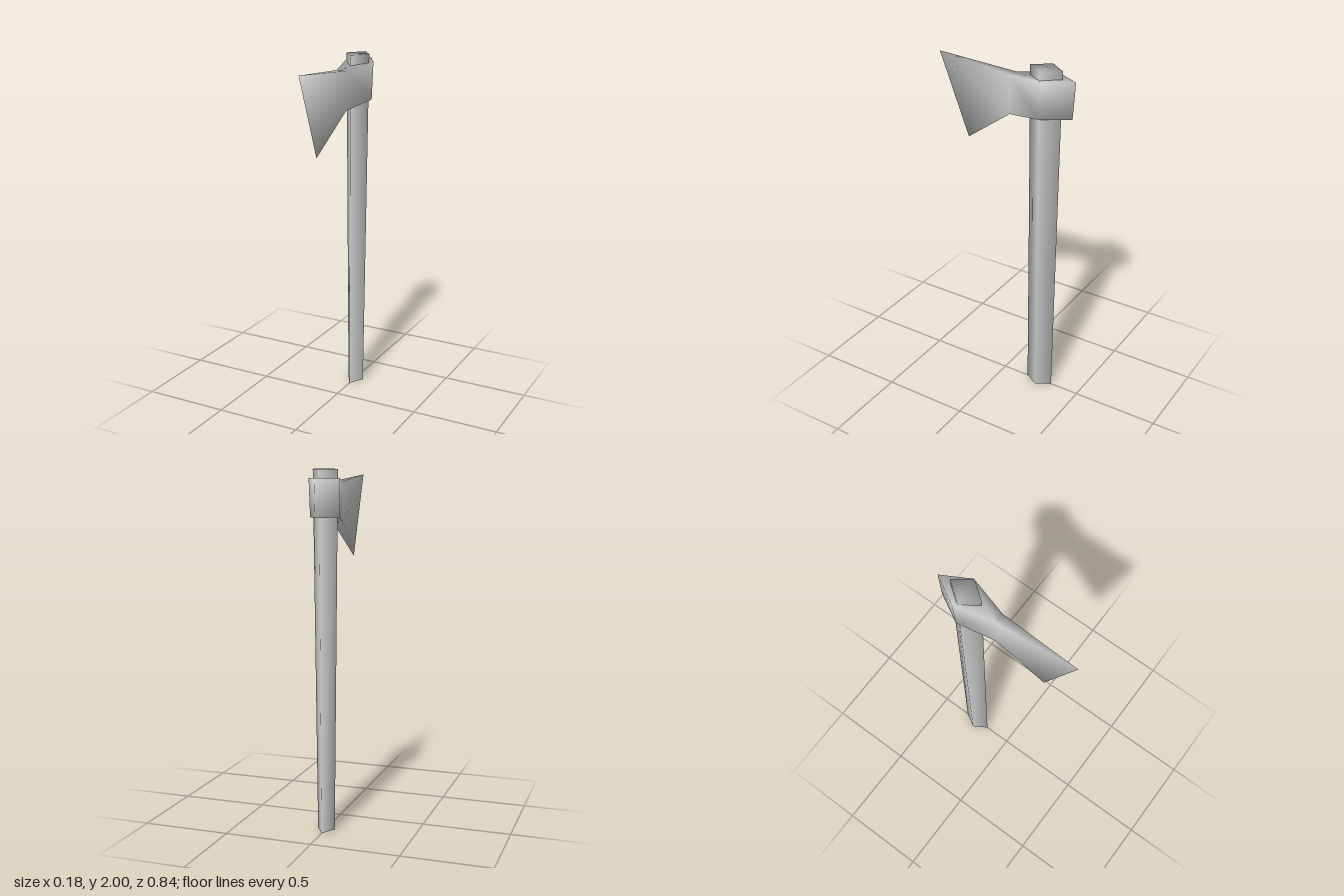
import * as THREE from 'three';

const material = new THREE.MeshStandardMaterial({ color: 0xcccccc });

// Mirrors a half outline (front point, +x points, back point) into a full ring.
function mirrorRing(half) {
  const left = half.slice(1, -1).reverse().map(([x, y, z]) => [-x, y, z]);
  return [...half, ...left];
}

// Closed, smooth solid between two mirrored rings, with capped ends.
function loft(name, bottomHalf, topHalf) {
  const bottom = mirrorRing(bottomHalf);
  const top = mirrorRing(topHalf);
  const n = bottom.length;
  const index = [];

  // walls, with diagonals mirrored left to right
  for (let i = 0; i < n; i++) {
    const j = (i + 1) % n;
    if (i < n / 2) index.push(i, j, i + n, j, j + n, i + n);
    else index.push(i, j, j + n, i, j + n, i + n);
  }

  // caps, as a strip running from front to back
  const cap = [[0, 1, n - 1]];
  for (let i = 1; i < n / 2; i++) {
    cap.push([i, i + 1, n - i]);
    if (i + 1 < n - i - 1) cap.push([i + 1, n - i - 1, n - i]);
  }
  for (const [a, b, c] of cap) index.push(a + n, b + n, c + n, a, c, b);

  const geometry = new THREE.BufferGeometry();
  geometry.setAttribute('position', new THREE.Float32BufferAttribute([...bottom, ...top].flat(), 3));
  geometry.setIndex(index);
  geometry.computeVertexNormals();
  const mesh = new THREE.Mesh(geometry, material);
  mesh.name = name;
  return mesh;
}

export function createModel() {
  const group = new THREE.Group();
  group.name = 'axe';

  // tapered diamond handle
  group.add(loft('handle',
    [[0, 0, -0.16], [0.05, 0, -0.243], [0, 0, -0.325]],
    [[0, 2, -0.15], [0.071, 2, -0.246], [0, 2, -0.342]]));

  // head: cutting edge, neck, cheek around the handle, back ridge
  group.add(loft('axeHead',
    [[0, 1.5, 0.24], [0.03, 1.71, -0.045], [0.084, 1.745, -0.255], [0, 1.75, -0.407]],
    [[0, 1.966, 0.42], [0.03, 1.93, -0.045], [0.088, 1.953, -0.265], [0, 1.955, -0.42]]));

  return group;
}
